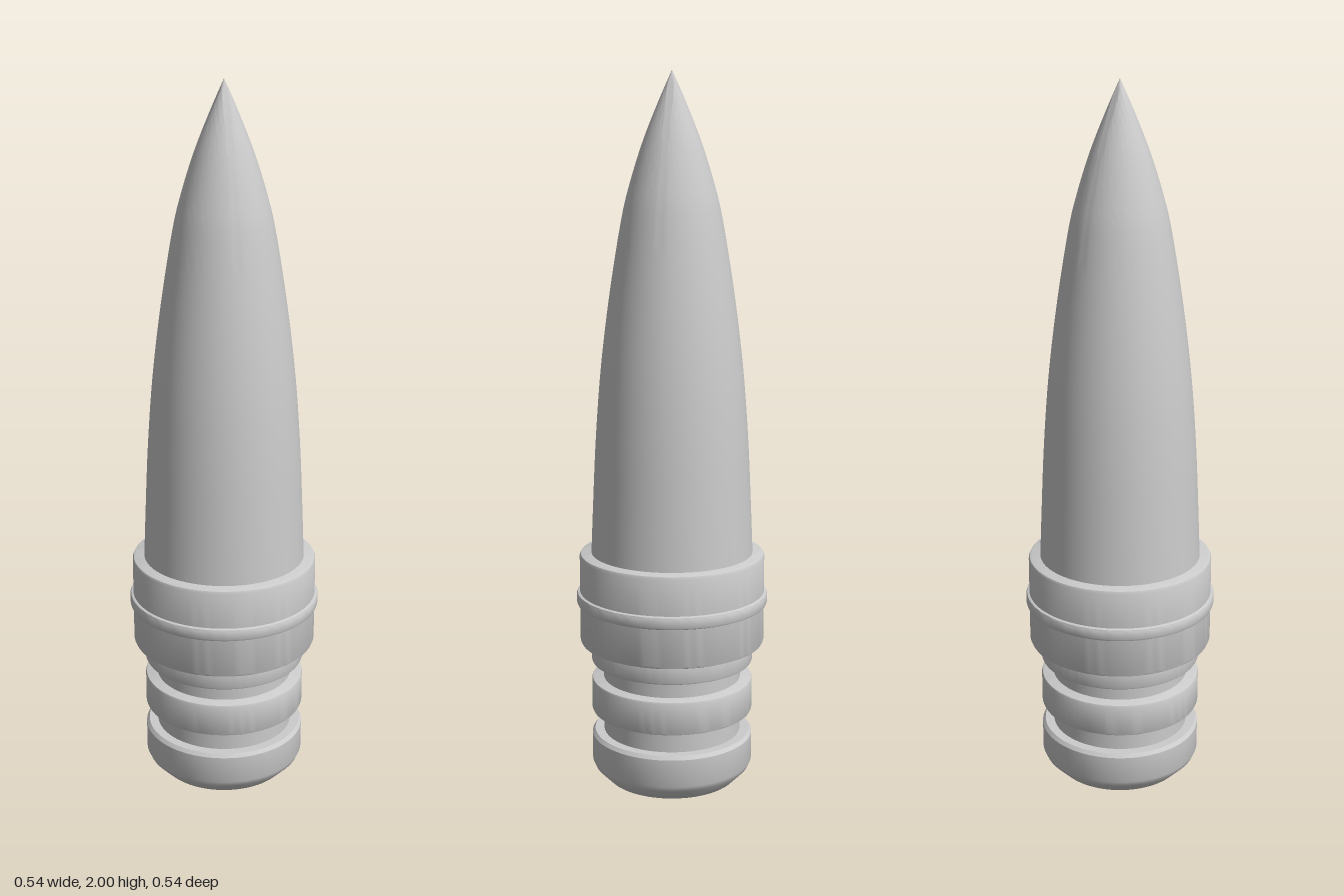
import * as THREE from 'three';
import { toCreasedNormals } from 'three/addons/utils/BufferGeometryUtils.js';

const material = new THREE.MeshStandardMaterial({ color: 0xcccccc });
const SEGMENTS = 96;

// Turned part from a bottom-to-top profile of [radius, height]
function turned(name, profile, crease = 0.6) {
  const points = profile.map(([r, y]) => new THREE.Vector2(r, y));
  const geometry = toCreasedNormals(new THREE.LatheGeometry(points, SEGMENTS), crease);
  const mesh = new THREE.Mesh(geometry, material);
  mesh.name = name;
  return mesh;
}

// Closed ring with small softened edges
function ring(name, radius, bottom, top, bevel) {
  return turned(name, [
    [0, bottom], [radius - bevel, bottom],
    [radius - bevel * 0.3, bottom + bevel * 0.3], [radius, bottom + bevel],
    [radius, top - bevel], [radius - bevel * 0.3, top - bevel * 0.3],
    [radius - bevel, top], [0, top],
  ]);
}

export function createModel() {
  const group = new THREE.Group();
  group.name = 'pointedDart';

  // Chamfered foot
  group.add(turned('foot', [
    [0, 0], [0.175, 0], [0.188, 0.006], [0.223, 0.042], [0.23, 0.058],
    [0.23, 0.137], [0.222, 0.147], [0, 0.147],
  ]));

  // Grooved shank: narrow core carrying two wider rings
  group.add(turned('shankCore', [[0.196, 0.14], [0.196, 0.42]]));
  group.add(ring('middleRing', 0.23, 0.208, 0.306, 0.007));
  group.add(ring('upperRing', 0.23, 0.355, 0.42, 0.005));

  // Wide collar with a raised band
  group.add(ring('collar', 0.262, 0.41, 0.673, 0.01));
  group.add(ring('collarBand', 0.271, 0.524, 0.561, 0.008));

  // Curved tapering point
  const outline = new THREE.SplineCurve([
    [0.229, 0.66], [0.223, 0.8], [0.213, 1.0], [0.197, 1.2], [0.172, 1.4],
    [0.139, 1.6], [0.115, 1.7], [0.08, 1.81], [0.04, 1.91], [0, 2],
  ].map(([r, y]) => new THREE.Vector2(r, y)));
  group.add(turned('point', outline.getPoints(48).map((p) => [Math.max(p.x, 0), p.y]), 0.8));

  return group;
}
